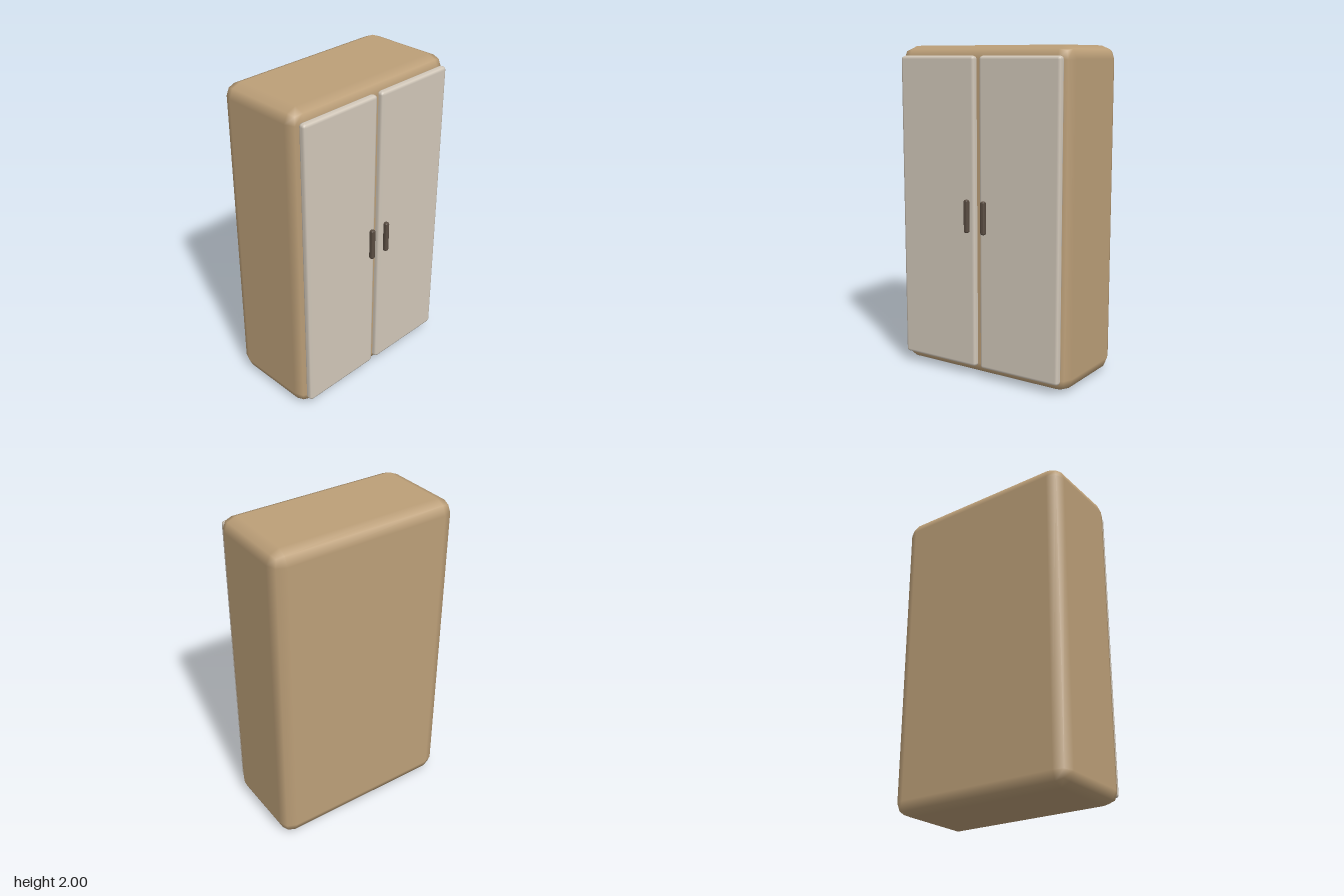
import * as THREE from 'three';
import { RoundedBoxGeometry } from 'three/addons/geometries/RoundedBoxGeometry.js';

const wood = new THREE.MeshStandardMaterial({ color: 0xbc9f78 });
wood.name = 'warm wood';
const panel = new THREE.MeshStandardMaterial({ color: 0xd2c8ba });
panel.name = 'pale panel';
const metal = new THREE.MeshStandardMaterial({ color: 0x5a4d42 });
metal.name = 'dark handle';

// Softly rounded block, placed by its centre
function block(name, material, [w, h, d], radius, [x, y, z]) {
  const mesh = new THREE.Mesh(new RoundedBoxGeometry(w, h, d, 1, radius), material);
  mesh.name = name;
  mesh.position.set(x, y, z);
  return mesh;
}

export function createModel() {
  const group = new THREE.Group();
  group.name = 'wardrobe';

  // Cabinet body
  group.add(block('cabinet', wood, [1.2, 2, 0.6], 0.08, [0, 1, -0.033]));

  // Mirrored doors with upright handles near the middle gap
  for (const [side, s] of [['left', 1], ['right', -1]]) {
    group.add(block(side + 'Door', panel, [0.547, 1.88, 0.05], 0.02, [s * 0.29, 1, 0.275]));
    group.add(block(side + 'Handle', metal, [0.03, 0.2, 0.03], 0.01, [s * 0.06, 1, 0.318]));
  }
  return group;
}
